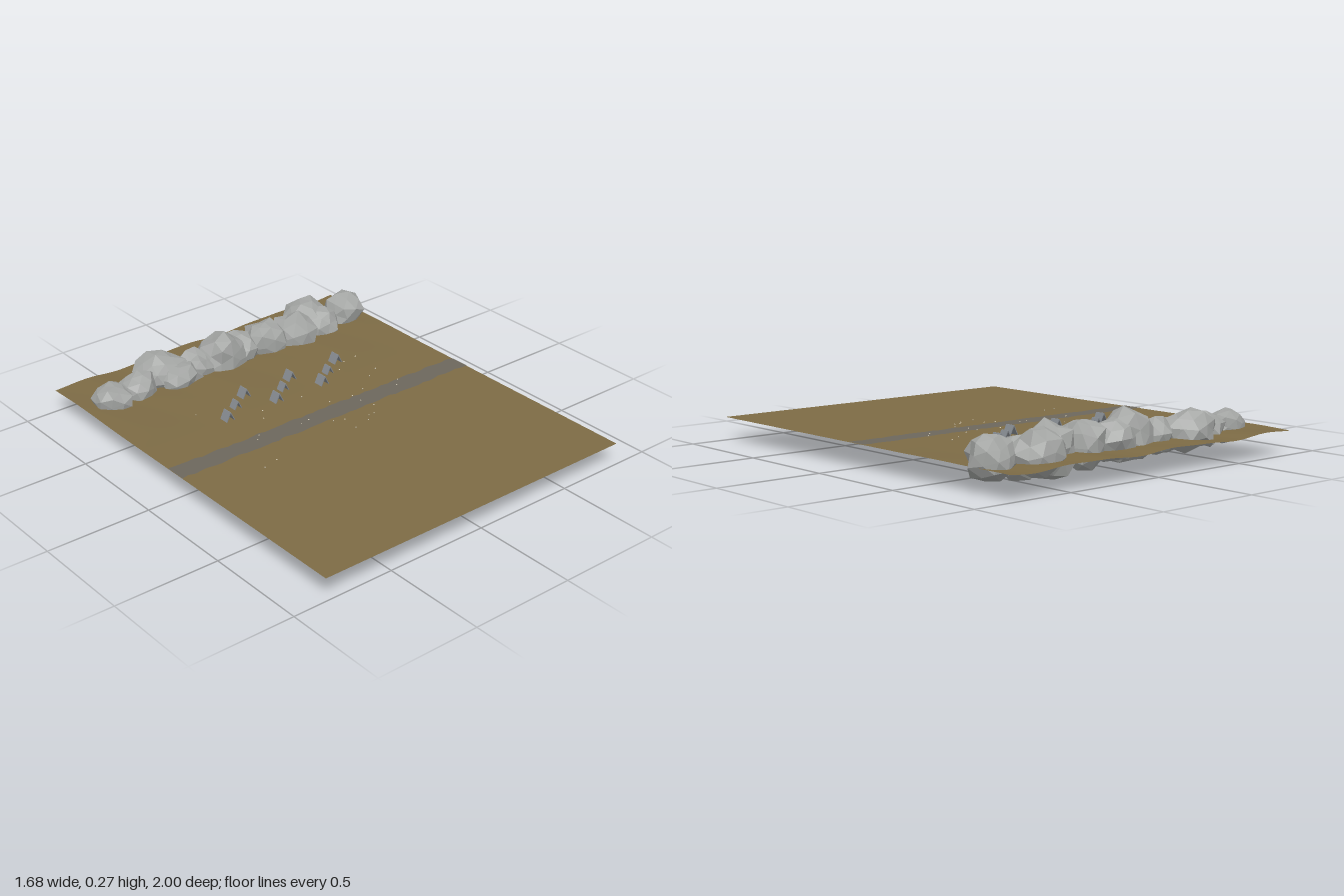
import * as THREE from 'three';
import { mergeVertices } from 'three/addons/utils/BufferGeometryUtils.js';

const LEVEL = 0.105;

function seeded(seed) {
  let s = seed;
  return () => {
    s = (s * 16807) % 2147483647;
    return s / 2147483647;
  };
}

// Flat in front, gently rolling towards the back
function groundHeight(x, z) {
  const k = THREE.MathUtils.smoothstep(-z, 0.3, 0.95);
  return LEVEL + k * 0.006 * (Math.sin(x * 11 + z * 3) + 0.4 * Math.sin(x * 21 - z * 9));
}

// Moves every vertex of a geometry by a rule
function moveVertices(geo, rule) {
  const p = geo.attributes.position;
  const v = new THREE.Vector3();
  for (let i = 0; i < p.count; i++) {
    v.fromBufferAttribute(p, i);
    rule(v, i);
    p.setXYZ(i, v.x, v.y, v.z);
  }
  geo.computeVertexNormals();
  return geo;
}

// Faceted boulder fitted to the given half sizes
function boulderGeometry(seed, rx, ry, rz) {
  const rand = seeded(seed);
  for (let i = 0; i < 5; i++) rand();
  let geo = new THREE.IcosahedronGeometry(1, 1);
  geo.deleteAttribute('normal');
  geo.deleteAttribute('uv');
  geo = mergeVertices(geo, 1e-3);
  geo.rotateY(rand() * 6);
  geo.rotateX(rand() * 6);
  moveVertices(geo, (v) => v.multiplyScalar(0.84 + 0.3 * rand()));
  geo.scale(rx, ry, rz);
  return geo;
}

export function createModel() {
  const model = new THREE.Group();
  const mat = (name, color, extra = {}) =>
    Object.assign(new THREE.MeshStandardMaterial({ color, ...extra }), { name });
  const earth = mat('earth', 0x7d6b45, { side: THREE.DoubleSide });
  const track = mat('track', 0x6c675c, { side: THREE.DoubleSide });
  const stone = mat('stone', 0xa4a6a4, { flatShading: true });
  const canvas = mat('canvas', 0x858a90, { flatShading: true });
  const pebble = mat('pebble', 0xc4bba4, { flatShading: true });

  const add = (parent, name, geo, material, x = 0, y = 0, z = 0) => {
    const mesh = new THREE.Mesh(geo, material);
    mesh.name = name;
    mesh.position.set(x, y, z);
    parent.add(mesh);
    return mesh;
  };
  const group = (name) => {
    const g = new THREE.Group();
    g.name = name;
    model.add(g);
    return g;
  };

  // Ground sheet
  const ground = new THREE.PlaneGeometry(1.66, 2, 48, 60).rotateX(-Math.PI / 2);
  ground.translate(-0.01, 0, 0);
  moveVertices(ground, (v) => { v.y = groundHeight(v.x, v.z); });
  add(model, 'ground', ground, earth);

  // Road with slightly ragged edges
  const rand = seeded(77);
  const road = new THREE.PlaneGeometry(1.66, 0.1, 48, 1).rotateX(-Math.PI / 2);
  road.translate(-0.01, 0, -0.02);
  moveVertices(road, (v) => {
    v.z += (rand() - 0.5) * 0.014;
    v.y = LEVEL + 0.002;
  });
  add(model, 'road', road, track);

  // Ridge of boulders: x, y, z, half sizes
  const ridge = group('boulderRidge');
  [
    [-0.69, 0.115, -0.74, 0.10, 0.08, 0.09],
    [-0.54, 0.12, -0.755, 0.10, 0.08, 0.09],
    [-0.38, 0.135, -0.81, 0.13, 0.095, 0.12],
    [-0.33, 0.115, -0.72, 0.11, 0.08, 0.085],
    [-0.21, 0.12, -0.76, 0.09, 0.085, 0.10],
    [-0.06, 0.135, -0.745, 0.13, 0.12, 0.11],
    [0.05, 0.125, -0.77, 0.10, 0.09, 0.10],
    [0.20, 0.13, -0.75, 0.12, 0.12, 0.10],
    [0.37, 0.12, -0.735, 0.12, 0.12, 0.11],
    [0.51, 0.13, -0.81, 0.12, 0.11, 0.11],
    [0.55, 0.11, -0.745, 0.11, 0.10, 0.09],
    [0.72, 0.13, -0.78, 0.11, 0.095, 0.11],
  ].forEach(([x, y, z, ...r], i) =>
    add(ridge, 'boulder', boulderGeometry(101 + i * 3571, ...r), stone, x, y, z));

  // Three rows of A-frame tents, each of two leaning panels
  const camp = group('tents');
  const rows = [
    { z: -0.40, xs: [-0.19, 0.08, 0.36], length: 0.05, height: 0.044 },
    { z: -0.335, xs: [-0.285, -0.01, 0.26], length: 0.042, height: 0.038 },
    { z: -0.268, xs: [-0.38, -0.10, 0.17], length: 0.05, height: 0.044 },
  ];
  for (const { z, xs, length, height } of rows) {
    const half = height * 0.5;
    const slope = Math.hypot(half, height);
    for (const x of xs) {
      const tent = new THREE.Group();
      tent.name = 'tent';
      tent.position.set(x, groundHeight(x, z), z);
      camp.add(tent);
      for (const s of [-1, 1]) {
        const panel = add(tent, 'tentPanel', new THREE.BoxGeometry(0.004, slope, length),
          canvas, s * half / 2, height / 2, 0);
        panel.rotation.z = s * Math.atan2(half, height);
      }
    }
  }

  // Pebbles scattered around the camp and road: x, z
  const pebbles = group('pebbles');
  const pebbleGeo = new THREE.OctahedronGeometry(0.004, 0);
  [
    [-0.47, -0.39], [-0.21, -0.23], [-0.25, -0.17], [-0.39, -0.03], [-0.36, -0.06],
    [-0.51, 0.18], [-0.43, 0.16], [-0.15, -0.02], [-0.10, -0.03], [-0.02, 0.05],
    [0.03, 0.07], [0.02, 0.16], [0.11, 0.14], [0.14, 0.11], [0.17, 0.11],
    [0.22, 0.05], [0.01, -0.22], [0.20, -0.08], [0.28, -0.10], [0.39, -0.18],
    [0.46, -0.22], [0.47, -0.07], [0.43, -0.03], [0.47, -0.38], [0.39, -0.37],
    [0.32, -0.32], [0.20, -0.02], [0.08, -0.10],
  ].forEach(([x, z]) =>
    add(pebbles, 'pebble', pebbleGeo, pebble, x, groundHeight(x, z) + 0.002, z));

  return model;
}
